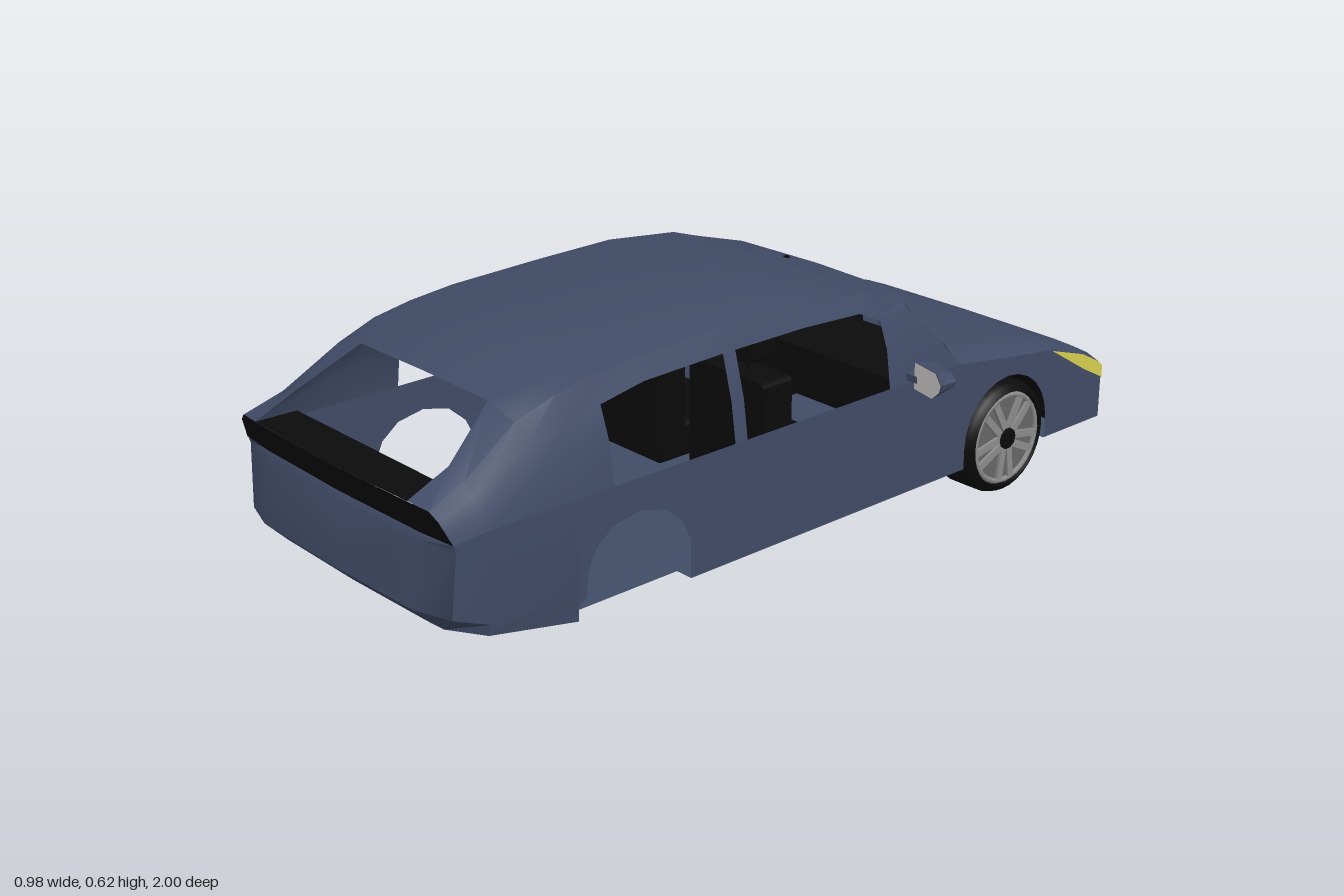
import * as THREE from 'three';
import { toCreasedNormals } from 'three/addons/utils/BufferGeometryUtils.js';

const mat = (name, color, side = THREE.DoubleSide) => {
  const m = new THREE.MeshStandardMaterial({ color, side });
  m.name = name;
  return m;
};

export function createModel() {
  const car = new THREE.Group();
  car.name = 'car';
  const paint = mat('bodyPaint', 0x404b66);
  const black = mat('blackTrim', 0x0b0b0b);
  const lamp = mat('headlightYellow', 0xd8d050);
  const glass = mat('mirrorGlass', 0xd6d2d2);
  const rimGrey = mat('rimGrey', 0x8c8c8c);
  const rimDark = mat('rimShade', 0x666666);

  const add = (name, geo, material, parent = car, pos = [0, 0, 0]) => {
    const m = new THREE.Mesh(geo, material);
    m.name = name;
    m.position.set(...pos);
    parent.add(m);
    return m;
  };
  const box = (name, w, h, d, material, pos, parent = car) =>
    add(name, new THREE.BoxGeometry(w, h, d), material, parent, pos);

  // Surface through rows of points; skip(i, j) leaves openings
  const sheet = (rows, skip = () => false) => {
    const n = rows[0].length, idx = [];
    for (let i = 0; i < rows.length - 1; i++) for (let j = 0; j < n - 1; j++) {
      if (skip(i, Math.min(j, n - 2 - j))) continue;
      const a = i * n + j, b = a + n;
      idx.push(a, b, a + 1, a + 1, b, b + 1);
    }
    const g = new THREE.BufferGeometry();
    g.setAttribute('position', new THREE.Float32BufferAttribute(rows.flat(2), 3));
    g.setIndex(idx);
    return toCreasedNormals(g, 0.6);
  };
  // Completes half rows that end on the centre line
  const full = rows => rows.map(r => [...r, ...r.slice(0, -1).reverse().map(([x, y, z]) => [-x, y, z])]);
  const flip = (rows, s) => rows.map(r => r.map(([x, y, z]) => [x * s, y, z]));

  // Flat polygon, corners mapped into space by place(u, v)
  const plate = (pts, place) => {
    const g = new THREE.ShapeGeometry(new THREE.Shape(pts.map(p => new THREE.Vector2(...p))));
    const p = g.attributes.position;
    for (let i = 0; i < p.count; i++) p.setXYZ(i, ...place(p.getX(i), p.getY(i)));
    g.computeVertexNormals();
    return g;
  };

  // Cabin: sections from the belt line up to the roof centre
  const station = (z, y2, top) => [
    [0.375, 0.37, z], [0.362, 0.46, z], [0.335, y2, z],
    [0.31, y2 + 0.75 * (top - y2), z], [0.25, top - 0.005, z], [0, top, z]];
  const cabin = [
    [[0.375, 0.37, -0.47], [0.36, 0.46, -0.39], [0.335, 0.53, -0.32], [0.31, 0.537, -0.345], [0.25, 0.542, -0.37], [0, 0.545, -0.375]],
    station(-0.235, 0.53, 0.587), station(-0.2, 0.55, 0.598), station(0, 0.56, 0.625),
    station(0.2, 0.56, 0.622), station(0.235, 0.56, 0.621), station(0.45, 0.555, 0.615),
    station(0.565, 0.535, 0.607), station(0.66, 0.51, 0.593),
    [[0.375, 0.37, 0.755], [0.365, 0.44, 0.755], [0.34, 0.5, 0.755], [0.305, 0.54, 0.755], [0.22, 0.56, 0.755], [0, 0.562, 0.755]],
    [[0.375, 0.37, 0.89], [0.365, 0.4, 0.89], [0.345, 0.435, 0.89], [0.32, 0.46, 0.89], [0.27, 0.475, 0.89], [0, 0.475, 0.89]],
    [[0.367, 0.36, 0.955], [0.36, 0.385, 0.965], [0.35, 0.41, 0.975], [0.33, 0.428, 0.982], [0.27, 0.432, 0.99], [0, 0.432, 1]]];
  const opening = (i, j) => (j < 2 && i >= 1 && i <= 6 && i !== 4) || (j === 4 && i >= 9);
  add('cabinShell', sheet(full(cabin), opening), paint);

  // Bonnet
  const bonnet = [[-0.47, -0.52, 0.37, 0.385], [-0.6, -0.6, 0.35, 0.372], [-0.8, -0.8, 0.323, 0.342],
    [-0.92, -0.92, 0.285, 0.302], [-0.985, -0.985, 0.25, 0.268], [-1, -1, 0.235, 0.25]]
    .map(([ze, zc, ye, yc]) => [[0.375, ye, ze], [0.34, ye + 0.7 * (yc - ye), ze * 0.8 + zc * 0.2],
      [0.28, yc - 0.002, zc], [0, yc, zc]]);
  add('bonnet', sheet(full(bonnet)), paint);

  // Front face with grille
  const atFront = z => (u, v) => [u, v, z];
  add('frontBumper', plate([[-0.375, 0.1], [0.375, 0.1], [0.375, 0.235], [0.28, 0.25], [-0.28, 0.25], [-0.375, 0.235]], atFront(-0.998)), paint);
  add('grille', plate([[-0.24, 0.135], [0.24, 0.135], [0.3, 0.215], [0.235, 0.248], [-0.235, 0.248], [-0.3, 0.215]], atFront(-1)), black);

  // Tail, its underside and the light bar
  add('tail', sheet(full([
    [[0.37, 0.1, 0.66], [0.365, 0.143, 0.88], [0.3, 0.153, 0.94], [0.25, 0.155, 0.945], [0, 0.155, 0.95]],
    [[0.375, 0.16, 0.66], [0.373, 0.17, 0.88], [0.358, 0.2, 0.96], [0.27, 0.2, 0.988], [0, 0.2, 0.995]],
    [[0.375, 0.34, 0.66], [0.375, 0.34, 0.88], [0.367, 0.345, 0.95], [0.27, 0.345, 0.97], [0, 0.345, 0.978]],
    [[0.375, 0.37, 0.66], [0.375, 0.37, 0.89], [0.367, 0.36, 0.955], [0.27, 0.36, 0.962], [0, 0.36, 0.968]]])), paint);
  add('tailUnderside', sheet(full([
    [[0.37, 0.1, 0.66], [0, 0.1, 0.66]], [[0.365, 0.143, 0.88], [0, 0.143, 0.88]],
    [[0.3, 0.153, 0.94], [0, 0.155, 0.95]]])), paint);
  add('tailLightBar', sheet(full([
    [[0.35, 0.41, 0.976], [0.33, 0.428, 0.983], [0.27, 0.432, 0.991], [0, 0.432, 1]],
    [[0.368, 0.36, 0.956], [0.345, 0.36, 0.958], [0.27, 0.359, 0.964], [0, 0.359, 0.97]]])), black);
  add('rearDeck', sheet(full([[[0.27, 0.43, 0.89], [0, 0.43, 0.89]], [[0.27, 0.432, 0.99], [0, 0.432, 1]]])), black);

  // Floor, notched around the wheels
  const edge = [[0.375, -1], [0.375, -0.79], [0.24, -0.79], [0.24, -0.5], [0.375, -0.5], [0.375, 0.36],
    [0.33, 0.36], [0.33, 0.65], [0.37, 0.66]];
  add('floor', plate([...edge, ...edge.map(([x, z]) => [-x, z]).reverse()], (u, v) => [u, 0.1, v]), paint);

  // Lower side outline, with wheel arches, as z and y
  const frontArch = [];
  for (let i = 0; i <= 12; i++) {
    const a = Math.PI * (1 - i / 12);
    frontArch.push([-0.645 + 0.147 * Math.cos(a), 0.15 + 0.147 * Math.sin(a)]);
  }
  const sideOutline = [[-1, 0.1], [-0.792, 0.1], ...frontArch, [-0.498, 0.1], [0.36, 0.1],
    [0.36, 0.19], [0.385, 0.24], [0.43, 0.28], [0.5, 0.298], [0.57, 0.285], [0.615, 0.25], [0.638, 0.2], [0.64, 0.15],
    [0.66, 0.14], [0.66, 0.37], [-0.47, 0.37], [-0.6, 0.35], [-0.8, 0.323], [-0.92, 0.285], [-0.985, 0.25], [-1, 0.235]];

  for (const s of [1, -1]) {
    const side = s > 0 ? 'left' : 'right';
    const atSide = x => (u, v) => [s * x, v, u];
    add(side + 'SidePanel', plate(sideOutline, atSide(0.375)), paint);

    // Windscreen pillar
    add(side + 'WindscreenPillar', sheet(flip([
      [[0.375, 0.37, -0.47], [0.335, 0.372, -0.475]], [[0.36, 0.46, -0.39], [0.325, 0.46, -0.4]],
      [[0.335, 0.53, -0.32], [0.295, 0.538, -0.35]]], s)), paint);

    // Headlight wrapping around the corner
    add(side + 'HeadlightSide', plate([[-0.8, 0.322], [-0.92, 0.284], [-0.985, 0.249], [-1, 0.235], [-1, 0.205], [-0.93, 0.242]], atSide(0.378)), lamp);
    add(side + 'HeadlightFront', plate([[0.235, 0.25], [0.3, 0.247], [0.376, 0.235], [0.376, 0.2], [0.3, 0.215]].map(([x, y]) => [s * x, y]), atFront(-1)), lamp);

    // Wing mirror
    const mirrorPts = [[0.395, 0.362], [0.46, 0.36], [0.485, 0.382], [0.49, 0.4], [0.47, 0.423], [0.395, 0.425]]
      .map(([x, y]) => new THREE.Vector2(s * x, y));
    const shape = new THREE.Shape(mirrorPts);
    const housing = new THREE.ExtrudeGeometry(shape, { depth: 0.05, bevelEnabled: false });
    const hp = housing.attributes.position;
    for (let i = 0; i < hp.count; i++) {
      // narrow the nose and sweep the outer end back
      if (hp.getZ(i) < 0.01) hp.setY(i, 0.393 + (hp.getY(i) - 0.393) * 0.7);
      hp.setZ(i, hp.getZ(i) + (Math.abs(hp.getX(i)) - 0.44) * 0.2);
    }
    housing.computeVertexNormals();
    add(side + 'MirrorHousing', housing, paint, car, [0, 0, -0.335]);
    const pane = plate(mirrorPts.map(p => [p.x, p.y]), (u, v) => [u, v, (Math.abs(u) - 0.44) * 0.2]);
    add(side + 'MirrorGlass', pane, glass, car, [0, 0, -0.283]);
    box(side + 'MirrorArm', 0.04, 0.016, 0.03, paint, [s * 0.385, 0.385, -0.305]);

    // Wheel well
    const well = new THREE.CylinderGeometry(0.147, 0.147, 0.135, 20, 1, true, 0, Math.PI);
    well.rotateZ(Math.PI / 2);
    add(side + 'WheelWell', well, black, car, [s * 0.307, 0.15, -0.645]);
    box(side + 'WheelWellWall', 0.008, 0.2, 0.29, black, [s * 0.24, 0.2, -0.645]);

    // Front wheel, built around y and turned outward
    const wheel = new THREE.Group();
    wheel.name = side + 'FrontWheel';
    wheel.position.set(s * 0.317, 0.14, -0.645);
    wheel.rotation.z = -s * Math.PI / 2;
    car.add(wheel);
    const tyre = [[0, -0.0675], [0.118, -0.0675], [0.133, -0.058], [0.14, -0.04], [0.14, 0.04], [0.133, 0.058],
      [0.118, 0.0675], [0.113, 0.052], [0, 0.052]].map(p => new THREE.Vector2(...p));
    add('tyre', toCreasedNormals(new THREE.LatheGeometry(tyre, 32), 0.7), black, wheel);
    add('rimDisc', new THREE.CylinderGeometry(0.112, 0.112, 0.004, 32), rimDark, wheel, [0, 0.055, 0]);
    add('rimRing', new THREE.TorusGeometry(0.108, 0.007, 6, 32).rotateX(Math.PI / 2), rimGrey, wheel, [0, 0.058, 0]);
    for (let k = 0; k < 5; k++) {
      const spoke = new THREE.Group();
      spoke.name = 'spoke';
      spoke.rotation.y = k * Math.PI * 0.4;
      wheel.add(spoke);
      for (const t of [-1, 1]) box('spokeArm', 0.09, 0.008, 0.018, rimGrey, [0.063, 0.06, t * 0.015], spoke).rotation.y = -t * 0.13;
    }
    add('hub', new THREE.CylinderGeometry(0.026, 0.028, 0.012, 10), black, wheel, [0, 0.062, 0]);

    // Front seat with headrest
    const seat = new THREE.Group();
    seat.name = side + 'Seat';
    seat.position.x = s * 0.175;
    car.add(seat);
    const padded = (name, w, h, d, pos) => {
      const r = 0.018, sh = new THREE.Shape();
      const a = w / 2, b = h / 2;
      sh.moveTo(-a + r, -b).lineTo(a - r, -b).quadraticCurveTo(a, -b, a, -b + r).lineTo(a, b - r).quadraticCurveTo(a, b, a - r, b)
        .lineTo(-a + r, b).quadraticCurveTo(-a, b, -a, b - r).lineTo(-a, -b + r).quadraticCurveTo(-a, -b, -a + r, -b);
      const g = new THREE.ExtrudeGeometry(sh, { depth: d, bevelEnabled: false, curveSegments: 4 });
      add(name, g.translate(0, 0, -d / 2), black, seat, pos);
    };
    padded('seatBack', 0.24, 0.27, 0.085, [0, 0.303, 0.035]);
    padded('seatCushion', 0.24, 0.09, 0.26, [0, 0.18, -0.07]);
    padded('headrest', 0.15, 0.085, 0.07, [0, 0.51, 0.035]);
    for (const t of [-1, 1]) box('headrestPost', 0.006, 0.05, 0.006, black, [t * 0.025, 0.455, 0.035], seat);
  }

  // Dashboard and inside mirror
  box('dashboard', 0.68, 0.12, 0.22, black, [0, 0.305, -0.4]);
  box('dashboardCowl', 0.54, 0.1, 0.05, black, [0, 0.31, -0.52]);
  box('insideMirror', 0.1, 0.042, 0.014, black, [-0.03, 0.515, -0.3]);
  box('insideMirrorGlass', 0.098, 0.04, 0.003, glass, [-0.03, 0.515, -0.291]);
  box('insideMirrorStem', 0.01, 0.04, 0.01, black, [-0.03, 0.55, -0.305]);
  return car;
}
